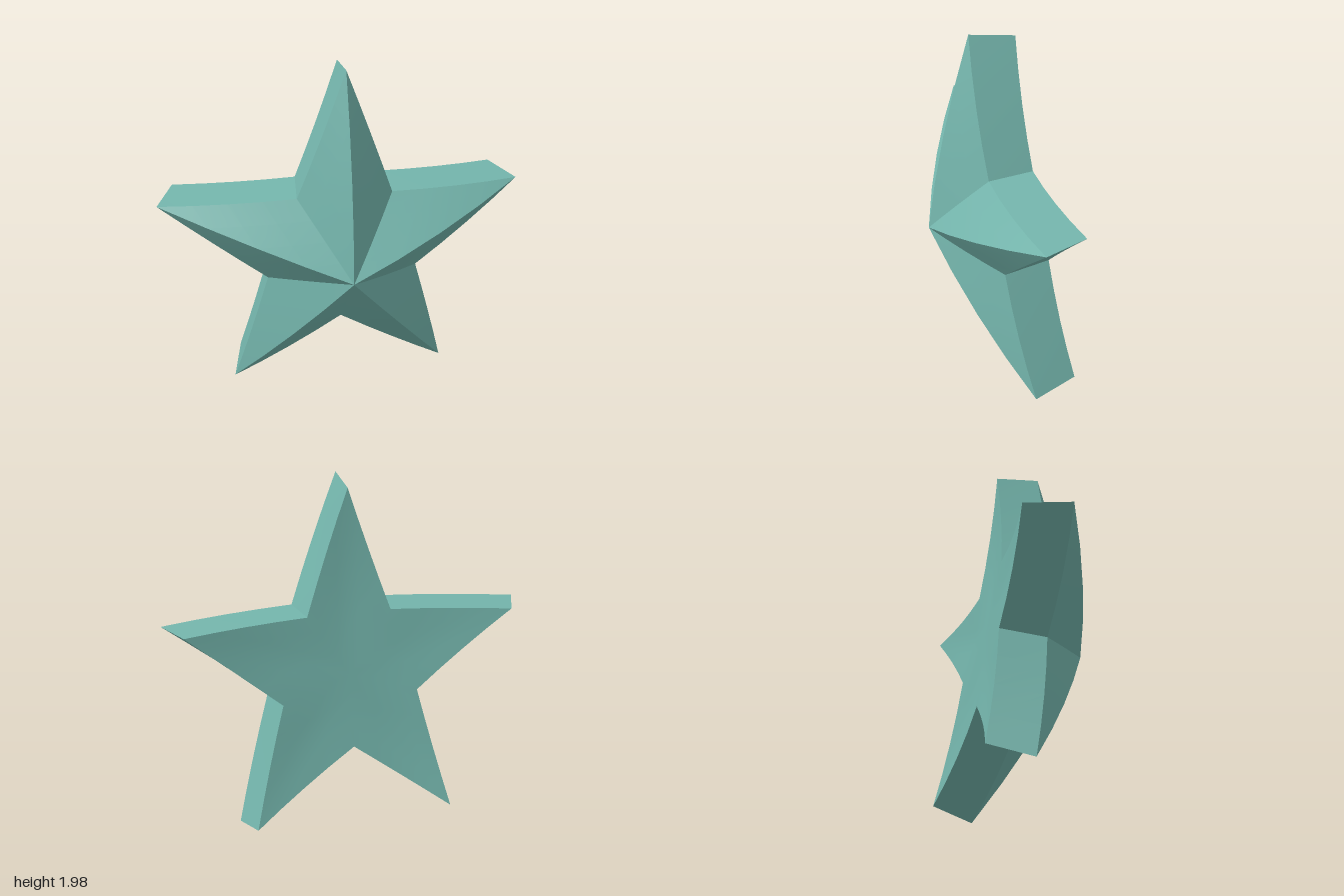
import * as THREE from 'three';
import { toCreasedNormals } from 'three/addons/utils/BufferGeometryUtils.js';

const V = (x, y, z) => new THREE.Vector3(x, y, z);

// Outline counter-clockwise from the top tip: tip, notch, tip, notch ...
const front = [
  V(-0.025, 1.98, 0.16), V(-0.28, 1.25, 0.08), V(-1, 1.22, -0.16), V(-0.43, 0.74, -0.01),
  V(-0.605, 0.005, -0.175), V(-0.01, 0.425, 0.045), V(0.635, 0.005, 0.06), V(0.41, 0.74, 0.15),
  V(0.995, 1.22, 0.21), V(0.245, 1.245, 0.17),
];
const back = [
  V(0.02, 1.95, -0.09), V(-0.205, 1.26, -0.17), V(-0.86, 1.23, -0.38), V(-0.34, 0.78, -0.25),
  V(-0.5, 0.07, -0.4), V(0.03, 0.475, -0.2), V(0.62, 0.07, -0.19), V(0.42, 0.77, -0.11),
  V(0.945, 1.23, -0.04), V(0.26, 1.255, -0.085),
];
const frontPeak = V(-0.07, 0.84, 0.4);
const backCentre = V(0.033, 0.9, -0.15);
const STEPS = 4;

// Blend of weighted corners, domed forward by the star's overall bend
function bent(corners, weights) {
  const p = V(0, 0, 0);
  corners.forEach((c, i) => p.addScaledVector(c, weights[i]));
  for (let i = 0; i < corners.length; i++) {
    for (let j = i + 1; j < corners.length; j++) {
      const dx = corners[i].x - corners[j].x, dy = corners[i].y - corners[j].y;
      p.z += weights[i] * weights[j] * (0.14 * dx * dx + 0.08 * dy * dy);
    }
  }
  return p;
}

function makeMesh(name, points, material) {
  const geometry = new THREE.BufferGeometry().setFromPoints(points);
  const mesh = new THREE.Mesh(toCreasedNormals(geometry, 0.3), material);
  mesh.name = name;
  return mesh;
}

// Subdivided curved triangle
function addTriangle(out, a, b, c) {
  const at = (i, j) => bent([a, b, c], [1 - (i + j) / STEPS, i / STEPS, j / STEPS]);
  for (let i = 0; i < STEPS; i++) {
    for (let j = 0; i + j < STEPS; j++) {
      out.push(at(i, j), at(i + 1, j), at(i, j + 1));
      if (i + j < STEPS - 1) out.push(at(i + 1, j), at(i + 1, j + 1), at(i, j + 1));
    }
  }
}

// Strip joining one front edge to the matching back edge
function addWall(out, f0, f1, b0, b1) {
  for (let i = 0; i < STEPS; i++) {
    const s = i / STEPS, t = (i + 1) / STEPS;
    const fs = bent([f0, f1], [1 - s, s]), ft = bent([f0, f1], [1 - t, t]);
    const bs = bent([b0, b1], [1 - s, s]), bt = bent([b0, b1], [1 - t, t]);
    out.push(fs, bs, bt, fs, bt, ft);
  }
}

export function createModel() {
  const material = new THREE.MeshStandardMaterial({ color: 0x74b5ac });
  const facets = [], rear = [], walls = [];
  for (let i = 0; i < 10; i++) {
    const j = (i + 1) % 10;
    addTriangle(facets, frontPeak, front[i], front[j]);
    addTriangle(rear, backCentre, back[j], back[i]);
    addWall(walls, front[i], front[j], back[i], back[j]);
  }
  const star = new THREE.Group();
  star.name = 'star';
  star.add(
    makeMesh('frontFacets', facets, material),
    makeMesh('backFace', rear, material),
    makeMesh('sideWalls', walls, material),
  );
  return star;
}
